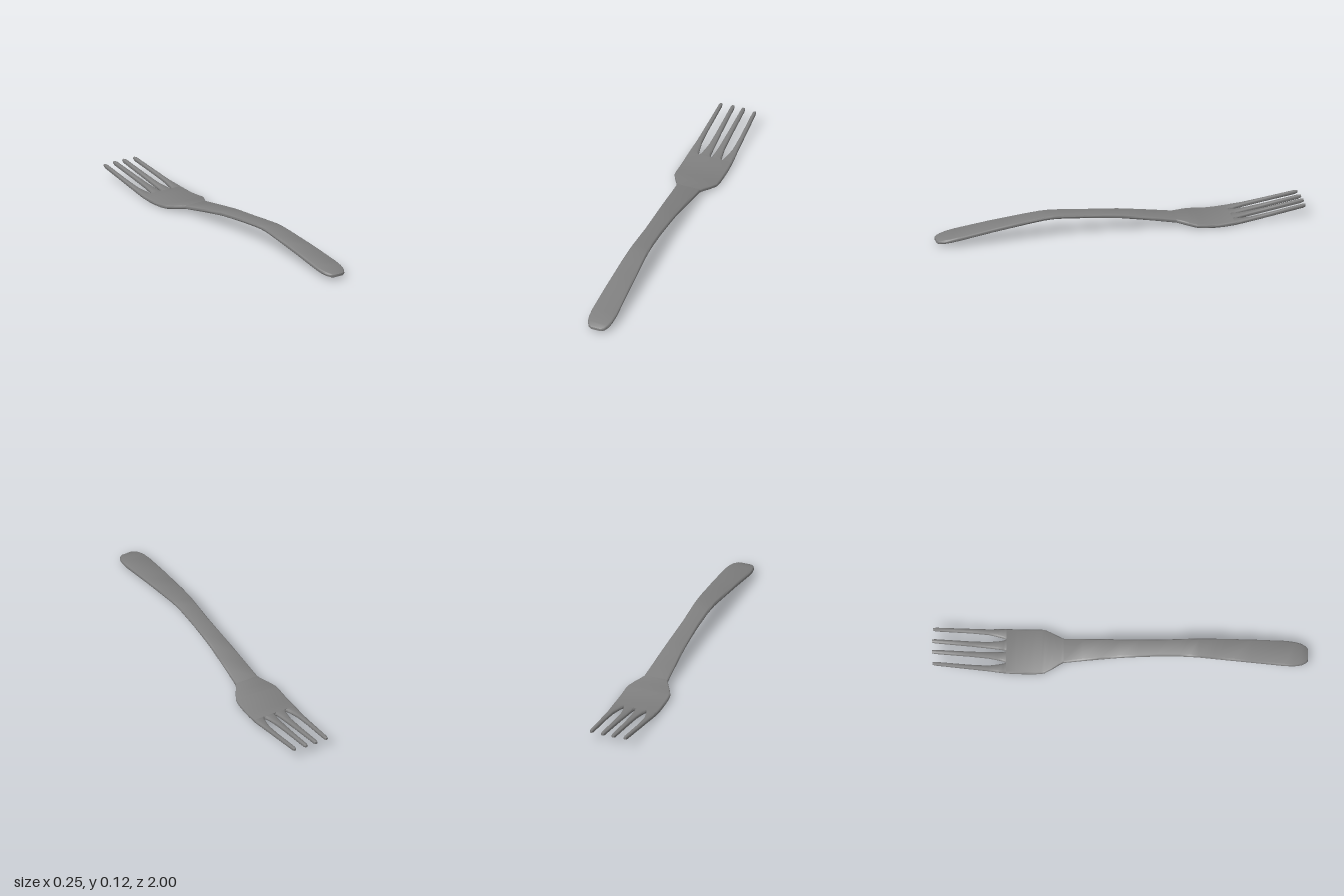
import * as THREE from 'three';
import { toCreasedNormals } from 'three/addons/utils/BufferGeometryUtils.js';

// height of the middle of the metal along the length: [z, y]
const BEND = [[1, 0.023], [0.9, 0.042], [0.7, 0.074], [0.5, 0.101], [0.42, 0.11], [0.37, 0.112], [0.32, 0.11],
  [0.2, 0.101], [0.1, 0.093], [0, 0.084], [-0.1, 0.069], [-0.2, 0.053], [-0.3, 0.036], [-0.4, 0.019],
  [-0.45, 0.0135], [-0.5, 0.0115], [-0.55, 0.0125], [-0.6, 0.016], [-0.7, 0.028], [-0.8, 0.044], [-1, 0.077]];
const THICK = 0.022;

function bendAt(z) {
  let i = 0;
  while (i < BEND.length - 2 && z < BEND[i + 1][0]) i++;
  const [z0, y0] = BEND[i], [z1, y1] = BEND[i + 1];
  return y0 + (y1 - y0) * (z - z0) / (z1 - z0);
}

// bevelled bar lofted along -z through stations [z, xMin, xMax, thickness]
function bar(stations) {
  const pos = [], index = [], n = 12;
  for (const [z, a, b, t = THICK] of stations) {
    const c = (a + b) / 2, w = (b - a) / 2, h = t / 2, y = bendAt(z);
    const r = Math.min(0.009, w * 0.75, h * 0.85);
    for (let q = 0; q < 4; q++) {
      const sx = q === 0 || q === 3 ? 1 : -1, sy = q < 2 ? 1 : -1;
      for (let k = 0; k < 3; k++) {
        const ang = (q + k / 2) * Math.PI / 2;
        pos.push(c + sx * (w - r) + r * Math.cos(ang), y + sy * (h - r) + r * Math.sin(ang), z);
      }
    }
  }
  const last = (stations.length - 1) * n;
  for (let s = 0; s < last; s += n) {
    for (let k = 0; k < n; k++) {
      const a = s + k, b = s + (k + 1) % n;
      index.push(a, b, b + n, a, b + n, a + n);
    }
  }
  // end caps
  for (let k = 1; k < n - 1; k++) {
    index.push(0, k, k + 1, last, last + k + 1, last + k);
  }
  // loops run counter-clockwise seen from +z, sides are wound to face outwards
  for (let i = 0; i < last * 6; i += 3) {
    [index[i + 1], index[i + 2]] = [index[i + 2], index[i + 1]];
  }
  const geo = new THREE.BufferGeometry();
  geo.setAttribute('position', new THREE.Float32BufferAttribute(pos, 3));
  geo.setIndex(index);
  return toCreasedNormals(geo, 0.85);
}

export function createModel() {
  const group = new THREE.Group();
  group.name = 'fork';
  const steel = new THREE.MeshStandardMaterial({ color: 0x808080 });
  steel.name = 'grey steel';

  const add = (name, stations) => {
    const mesh = new THREE.Mesh(bar(stations), steel);
    mesh.name = name;
    group.add(mesh);
  };
  const even = list => list.map(([z, w, t]) => [z, -w, w, t]);

  // handle with rounded end, narrow in the middle
  add('handle', even([[1, 0.032, 0.014], [0.99, 0.046, 0.02], [0.965, 0.06], [0.93, 0.068], [0.88, 0.071],
    [0.7, 0.065], [0.6, 0.061], [0.5, 0.057], [0.42, 0.053], [0.37, 0.051], [0.32, 0.049], [0.2, 0.047],
    [0.1, 0.049], [0, 0.052], [-0.1, 0.057], [-0.2, 0.062], [-0.3, 0.068]]));

  // shoulders and flat head
  add('head', even([[-0.3, 0.068], [-0.32, 0.078], [-0.36, 0.102], [-0.4, 0.122], [-0.42, 0.125], [-0.45, 0.126],
    [-0.5, 0.126], [-0.55, 0.126], [-0.605, 0.125]]));

  // tines, widening at the root into the rounded slots
  const inner = [[-0.605, 0.001, 0.065], [-0.62, 0.005, 0.059], [-0.65, 0.008, 0.053], [-0.7, 0.011, 0.046],
    [-0.8, 0.015, 0.043], [-0.985, 0.019, 0.041], [-1, 0.022, 0.038, 0.014]];
  const outer = [[-0.605, 0.065, 0.125], [-0.62, 0.071, 0.124], [-0.65, 0.078, 0.122], [-0.7, 0.087, 0.118],
    [-0.8, 0.089, 0.114], [-0.98, 0.087, 0.106], [-0.995, 0.09, 0.103, 0.014]];
  const mirror = list => list.map(([z, a, b, t]) => [z, -b, -a, t]);
  add('innerTineLeft', inner);
  add('innerTineRight', mirror(inner));
  add('outerTineLeft', outer);
  add('outerTineRight', mirror(outer));
  return group;
}
